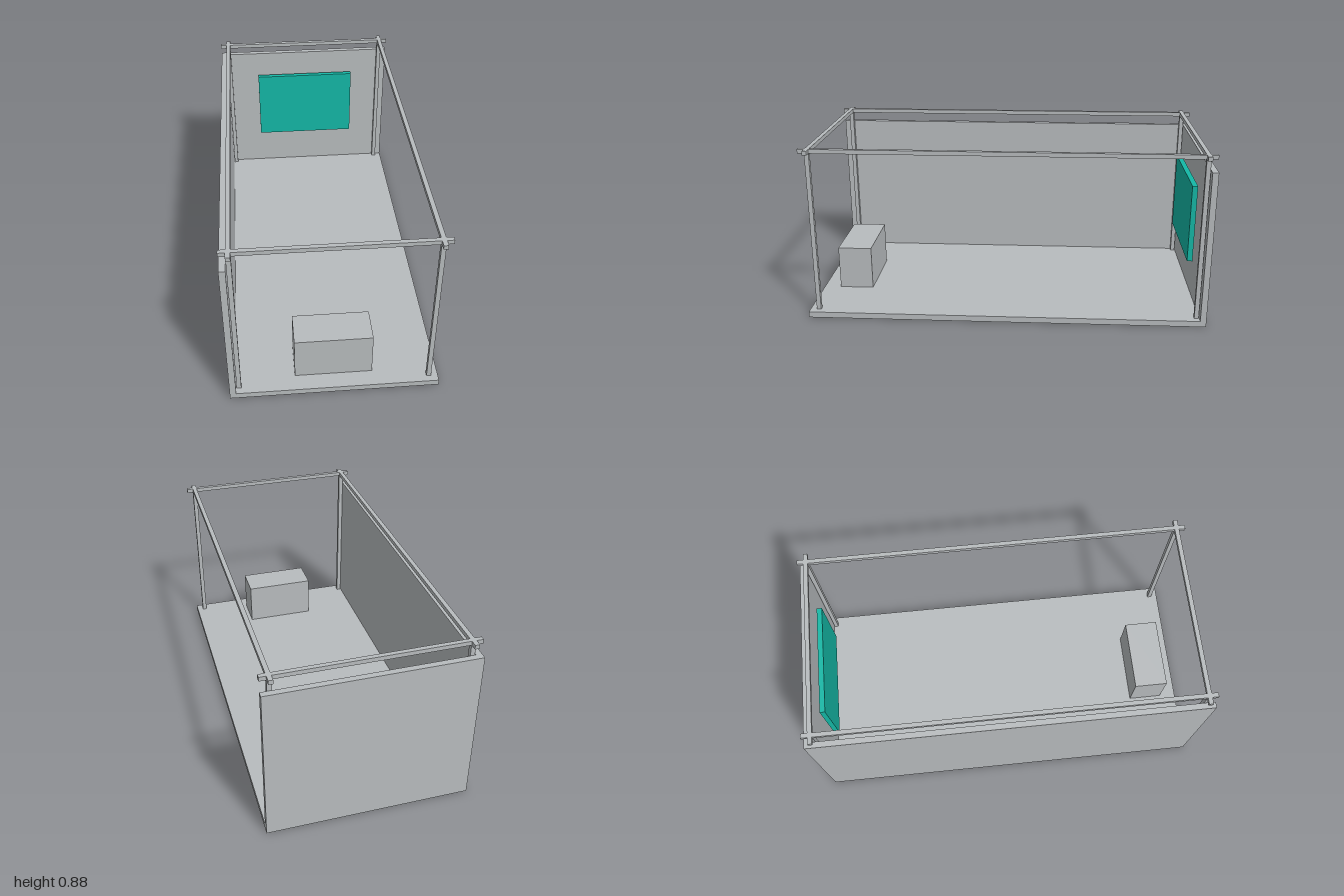
import * as THREE from 'three';

export function createModel() {
  const model = new THREE.Group();
  model.name = 'exhibitionBooth';

  const grey = new THREE.MeshStandardMaterial({ color: 0xb8bcbe });
  grey.name = 'lightGrey';
  const teal = new THREE.MeshStandardMaterial({ color: 0x14b8a6 });
  teal.name = 'teal';

  // Box given by its extents on each axis
  function box(name, [x0, x1], [y0, y1], [z0, z1], material = grey) {
    const mesh = new THREE.Mesh(new THREE.BoxGeometry(x1 - x0, y1 - y0, z1 - z0), material);
    mesh.position.set((x0 + x1) / 2, (y0 + y1) / 2, (z0 + z1) / 2);
    mesh.name = name;
    model.add(mesh);
  }

  // Floor slab with a back wall and a left-hand wall
  box('floor', [-0.5, 0.5], [0, 0.03], [-1, 1]);
  box('backWall', [-0.5, 0.5], [0.03, 0.8], [-1, -0.97]);
  box('sideWall', [-0.5, -0.47], [0.03, 0.8], [-0.97, 1]);

  // Corner posts and the crossing top rails
  const inX = 0.445, outX = 0.467, inZ = 0.945, outZ = 0.967;
  const span = (s, a, b) => (s > 0 ? [a, b] : [-b, -a]);
  const railY = [0.854, 0.875];
  for (const s of [-1, 1]) {
    for (const t of [-1, 1]) {
      box('post', span(s, inX, outX), [0.03, railY[0]], span(t, inZ, outZ));
    }
    box('longRail', span(s, inX, outX), railY, [-1, 1]);
    box('crossRail', [-0.5, 0.5], railY, span(s, inZ, outZ));
  }

  // Display panel and counter
  box('displayPanel', [-0.285, 0.285], [0.263, 0.665], [-0.947, -0.92], teal);
  box('counter', [-0.187, 0.187], [0.03, 0.256], [0.737, 0.913]);

  return model;
}
